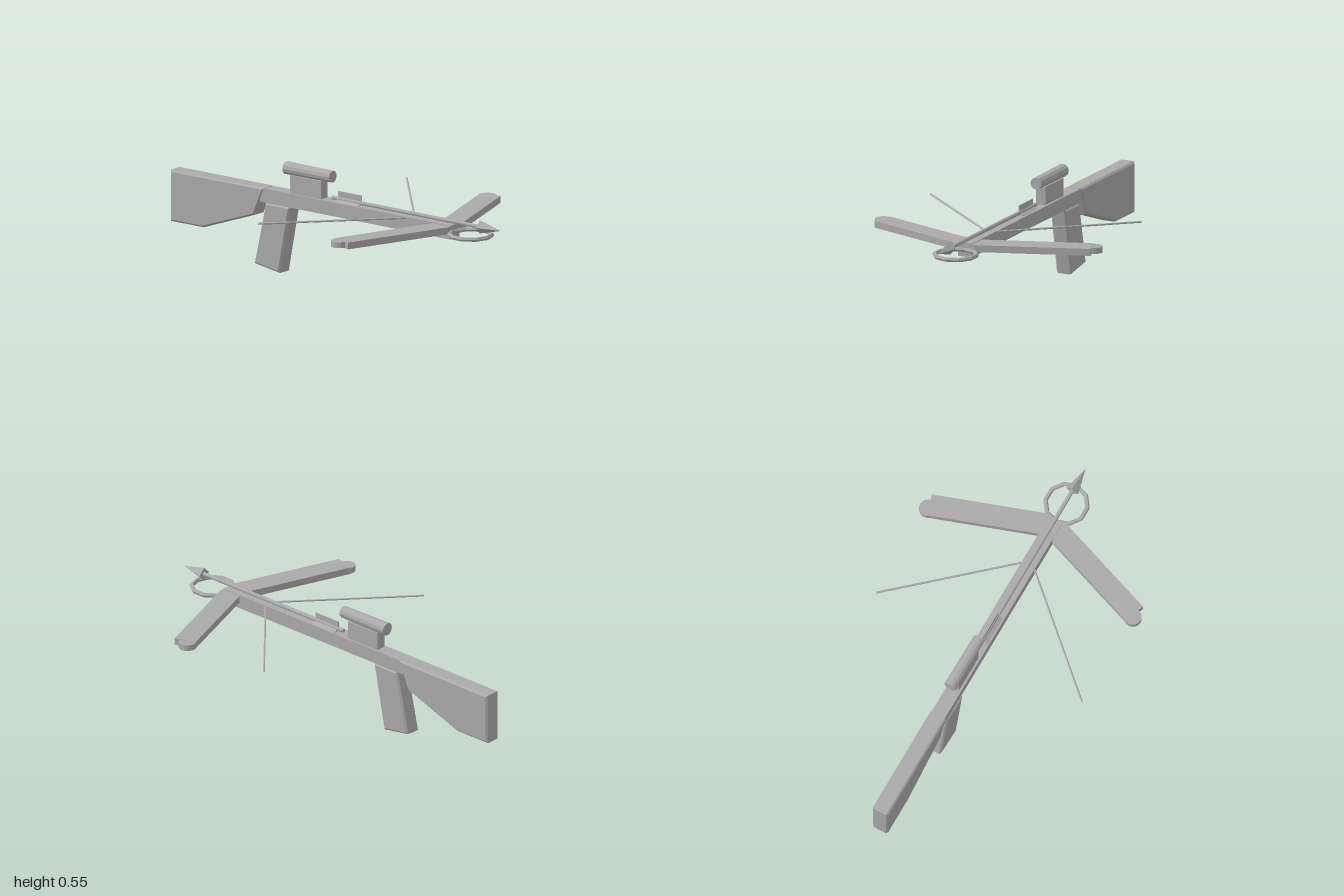
import * as THREE from 'three';

const grey = new THREE.MeshStandardMaterial({ color: 0xaaaaaa, flatShading: true });
grey.name = 'plain grey';

export function createModel() {
  const model = new THREE.Group();
  model.name = 'crossbow';

  const add = (name, geometry, x = 0, y = 0, z = 0) => {
    const mesh = new THREE.Mesh(geometry, grey);
    mesh.name = name;
    mesh.position.set(x, y, z);
    model.add(mesh);
    return mesh;
  };
  const outline = (points) => new THREE.Shape(points.map(([x, y]) => new THREE.Vector2(x, y)));

  // Side profile extruded across z, with a small bevel kept inside the outline
  const bevelled = (points, halfWidth, bevel) => new THREE.ExtrudeGeometry(outline(points), {
    depth: 2 * (halfWidth - bevel), bevelEnabled: true, bevelThickness: bevel,
    bevelSize: bevel, bevelOffset: -bevel, bevelSegments: 1,
  }).translate(0, 0, bevel - halfWidth);

  // Cylinder or cone lying along x; the front end is at +x
  const alongX = (frontR, backR, length, sides) =>
    new THREE.CylinderGeometry(frontR, backR, length, sides).rotateZ(-Math.PI / 2);

  // Stock, grip and rail
  add('stock', bevelled([[-1, 0.15], [-0.8, 0.15], [-0.485, 0.262], [-0.425, 0.403], [-1, 0.403]], 0.042, 0.009));
  add('grip', bevelled([[-0.485, 0.025], [-0.33, 0], [-0.265, 0.334], [-0.415, 0.334]], 0.042, 0.009));
  add('rail', new THREE.BoxGeometry(1.165, 0.068, 0.072), 0.1325, 0.367, 0);

  // Sight on its mount
  add('sightMount', new THREE.BoxGeometry(0.19, 0.1, 0.05), -0.18, 0.44, 0);
  add('sightTube', alongX(0.029, 0.032, 0.285, 12), -0.175, 0.516, 0);

  // Bolt: shaft, three vanes and a faceted point
  const boltY = 0.414;
  add('boltShaft', alongX(0.01, 0.01, 0.93, 8), 0.43, boltY, 0);
  add('boltPoint', alongX(0, 0.033, 0.13, 4), 0.935, boltY, 0);
  for (let i = 0; i < 3; i++) {
    const vane = new THREE.BoxGeometry(0.145, 0.037, 0.005).translate(0.0725, 0.0185, 0);
    add('boltVane', vane, 0, boltY, 0).rotation.x = (i * 2 * Math.PI) / 3;
  }

  // Bow limbs with rounded tips, and the two string halves
  for (const side of [1, -1]) {
    const limb = outline([
      [0.715, 0], [0.718, 0.05], [0.53, 0.58], [0.495, 0.568], [0.425, 0.552], [0.608, 0.035], [0.608, 0],
    ].map(([x, z]) => [x, z * side]));
    const limbGeometry = new THREE.ExtrudeGeometry(limb, { depth: 0.034, bevelEnabled: false });
    add('bowLimb', limbGeometry.rotateX(-Math.PI / 2), 0, 0.363, 0);
    add('limbTip', new THREE.CylinderGeometry(0.042, 0.042, 0.029, 16), 0.463, 0.38, side * 0.563);

    const from = new THREE.Vector3(-0.035, 0.396, side * 0.565);
    const to = new THREE.Vector3(0.44, 0.396, side * 0.035);
    add('string', new THREE.TubeGeometry(new THREE.LineCurve3(from, to), 1, 0.005, 6));
  }

  // Foot stirrup
  add('stirrup', new THREE.TorusGeometry(0.102, 0.011, 6, 10).rotateX(Math.PI / 2), 0.814, 0.367, 0);

  return model;
}
